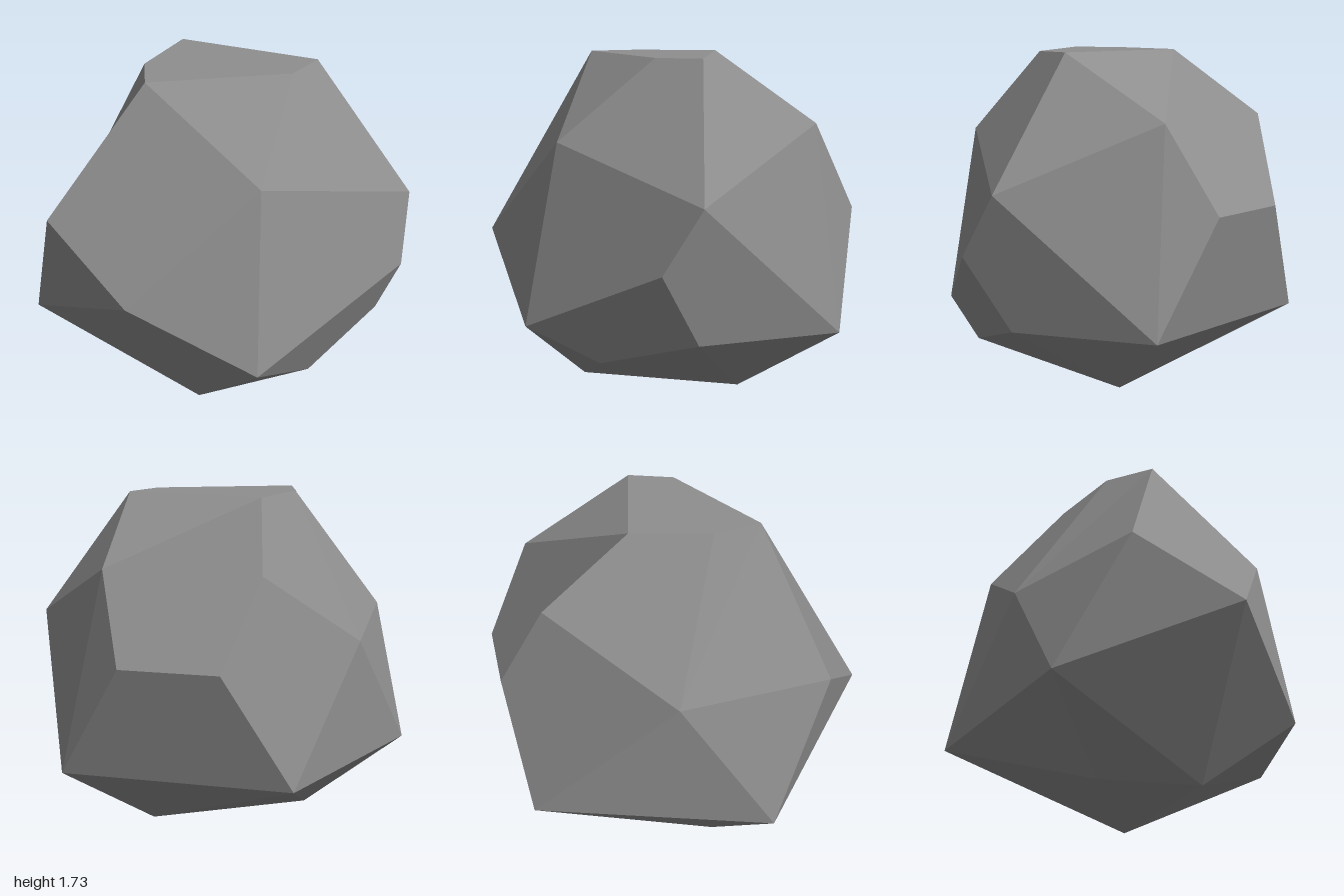
import * as THREE from 'three';

// Corner points of the boulder, in rings from top to bottom
const CORNERS = {
  // flat top
  F: [0.355, 1.73, -0.365], G: [0.43, 1.73, -0.13], H: [0.07, 1.73, 0.52], I: [-0.15, 1.73, 0.36], J: [-0.33, 1.73, -0.025],
  // shoulder
  C: [-0.03, 1.40, -0.80], K: [-0.70, 1.40, -0.32], S: [0.69, 1.305, 0.295],
  // middle
  D: [0.79, 1.06, -0.64], P: [-0.13, 1.05, 1.0], N: [-0.63, 0.98, 0.40], B: [-0.28, 0.945, -0.89],
  L: [-0.70, 0.945, -0.58], Q: [0.44, 0.765, 0.94], E: [0.91, 0.74, -0.48],
  // lower ring
  O: [-0.49, 0.36, 0.865], M: [-0.91, 0.36, -0.29], A: [0.07, 0.36, -1.0], U: [0.68, 0.36, -0.545],
  R: [0.82, 0.36, 0.415], T: [0.745, 0.21, 0],
  // flat base
  X: [-0.20, 0, 0.40], V: [0.33, 0, 0.40], W: [0.087, 0, -0.42],
};

// Facets as loops of corners; each is fanned from its first corner
const FACETS = [
  'FGHIJ', 'JFC', 'KLBCJ', 'JKNI', 'GHS', 'FCD', 'GFDS', // top and shoulder
  'IHN', 'NHP', 'NPO', 'HPQS', 'POQ', // front
  'NOM', 'KLMN', 'LBAM', 'BCA', 'CDA', // right side and back
  'SDER', 'SRQ', 'DEUA', 'ERTU', // left side
  'RVT', 'QRV', 'QVO', 'OVX', 'MOX', 'AMW', 'AWU', 'TUWV', 'WMXV', // underside
];

// Builds a shell of facets, each with one flat normal turned away from the centre
function facetGeometry(corners, facets, centre) {
  const positions = [];
  const normals = [];
  for (const facet of facets) {
    const loop = [...facet].map((key) => new THREE.Vector3(...corners[key]));
    const normal = new THREE.Vector3();
    const side = new THREE.Vector3();
    loop.forEach((p, i) => normal.add(side.crossVectors(p, loop[(i + 1) % loop.length])));
    normal.normalize();
    if (normal.dot(loop[0].clone().sub(centre)) < 0) {
      normal.negate();
      loop.push(loop.shift());
      loop.reverse();
    }
    for (let i = 1; i < loop.length - 1; i++) {
      for (const p of [loop[0], loop[i], loop[i + 1]]) {
        positions.push(p.x, p.y, p.z);
        normals.push(normal.x, normal.y, normal.z);
      }
    }
  }
  const geometry = new THREE.BufferGeometry();
  geometry.setAttribute('position', new THREE.Float32BufferAttribute(positions, 3));
  geometry.setAttribute('normal', new THREE.Float32BufferAttribute(normals, 3));
  return geometry;
}

export function createModel() {
  const stone = new THREE.MeshStandardMaterial({ color: 0x8e8e8e });
  stone.name = 'stoneGrey';

  // faceted boulder
  const boulder = new THREE.Mesh(facetGeometry(CORNERS, FACETS, new THREE.Vector3(0, 0.85, 0)), stone);
  boulder.name = 'boulder';

  const group = new THREE.Group();
  group.name = 'rock';
  group.add(boulder);
  return group;
}
